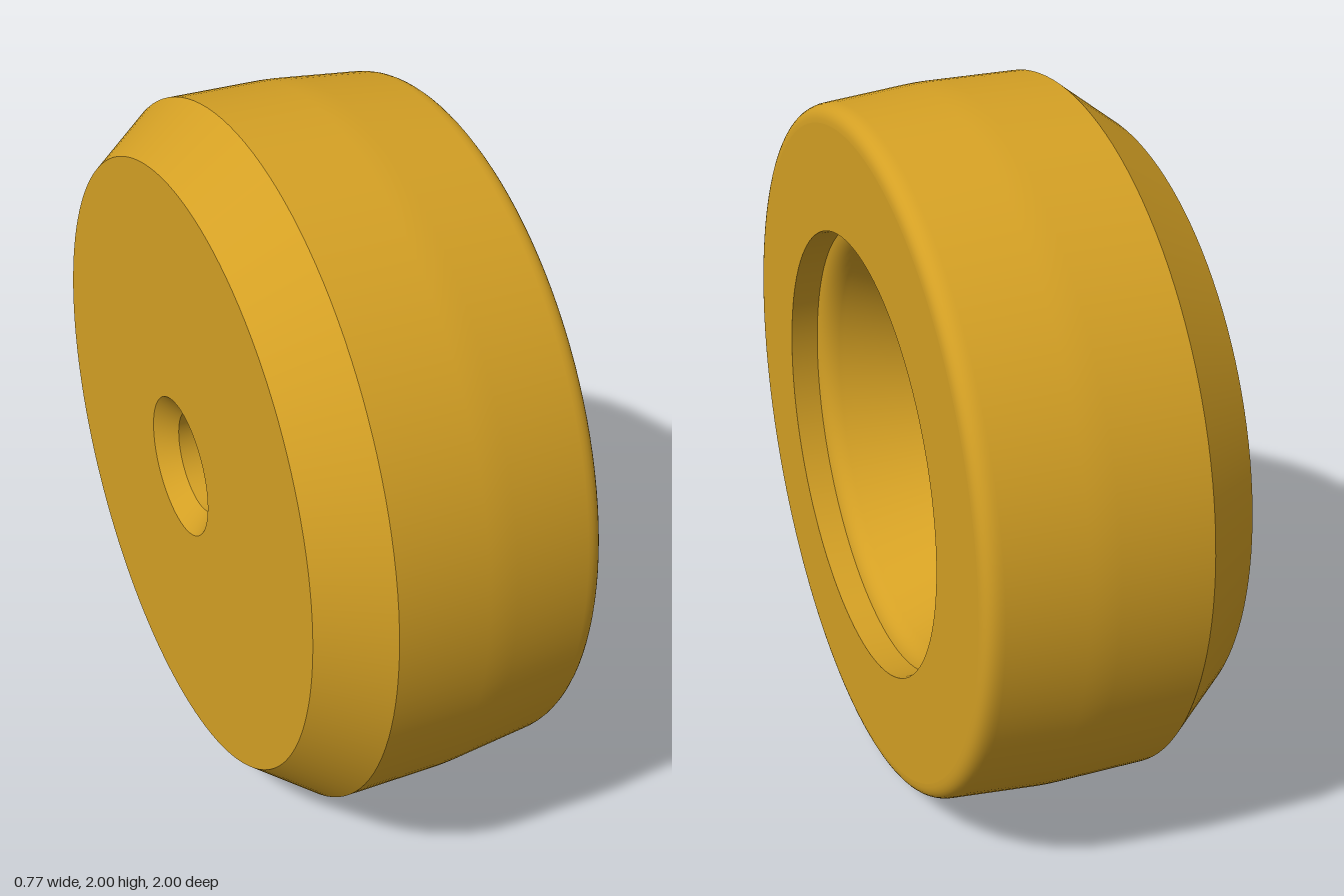
import * as THREE from 'three';
import { mergeGeometries } from 'three/addons/utils/BufferGeometryUtils.js';

const SEGMENTS = 128;
const v = (r, x) => new THREE.Vector2(r, x);

// Quadratic bend used for the rounded stretches of the profile.
const bend = (a, b, c, n = 8) => new THREE.QuadraticBezierCurve(a, b, c).getPoints(n);

export function createModel() {
  const material = new THREE.MeshStandardMaterial({ color: 0xd4a024 });
  const group = new THREE.Group();
  group.name = 'wheel';

  // Each section is turned separately, so edges between sections stay sharp.
  const turn = (name, sections) => {
    const geometry = mergeGeometries(sections.map((s) => new THREE.LatheGeometry(s, SEGMENTS)));
    geometry.rotateZ(-Math.PI / 2);
    const mesh = new THREE.Mesh(geometry, material);
    mesh.name = name;
    mesh.position.y = 1;
    group.add(mesh);
  };

  // Bevelled shoulder, gently tapering tread and rounded front shoulder
  turn('tread', [
    [v(0.87, -0.385), v(1, -0.213)],
    [v(1, -0.213), ...bend(v(1, 0.04), v(1, 0.08), v(0.996, 0.12), 4),
      ...bend(v(0.976, 0.335), v(0.972, 0.385), v(0.925, 0.385))],
  ]);

  // Flat ring around the recess
  turn('frontFace', [[v(0.925, 0.385), v(0.63, 0.385)]]);

  // Short straight wall, rounded lip, then a cone down to the floor
  turn('recess', [
    [v(0.63, 0.385), v(0.63, 0.305)],
    [...bend(v(0.63, 0.305), v(0.585, 0.295), v(0.567, 0.24)), v(0.44, -0.04)],
    [v(0.44, -0.04), v(0.16, -0.04)],
  ]);

  // Stepped axle hole with a countersunk back
  turn('axleHole', [
    [v(0.16, -0.04), v(0.16, -0.13)],
    [v(0.16, -0.13), v(0.145, -0.13)],
    [v(0.145, -0.13), v(0.145, -0.33)],
    [v(0.145, -0.33), v(0.2, -0.385)],
  ]);

  // Flat back disc
  turn('backFace', [[v(0.2, -0.385), v(0.87, -0.385)]]);

  return group;
}
